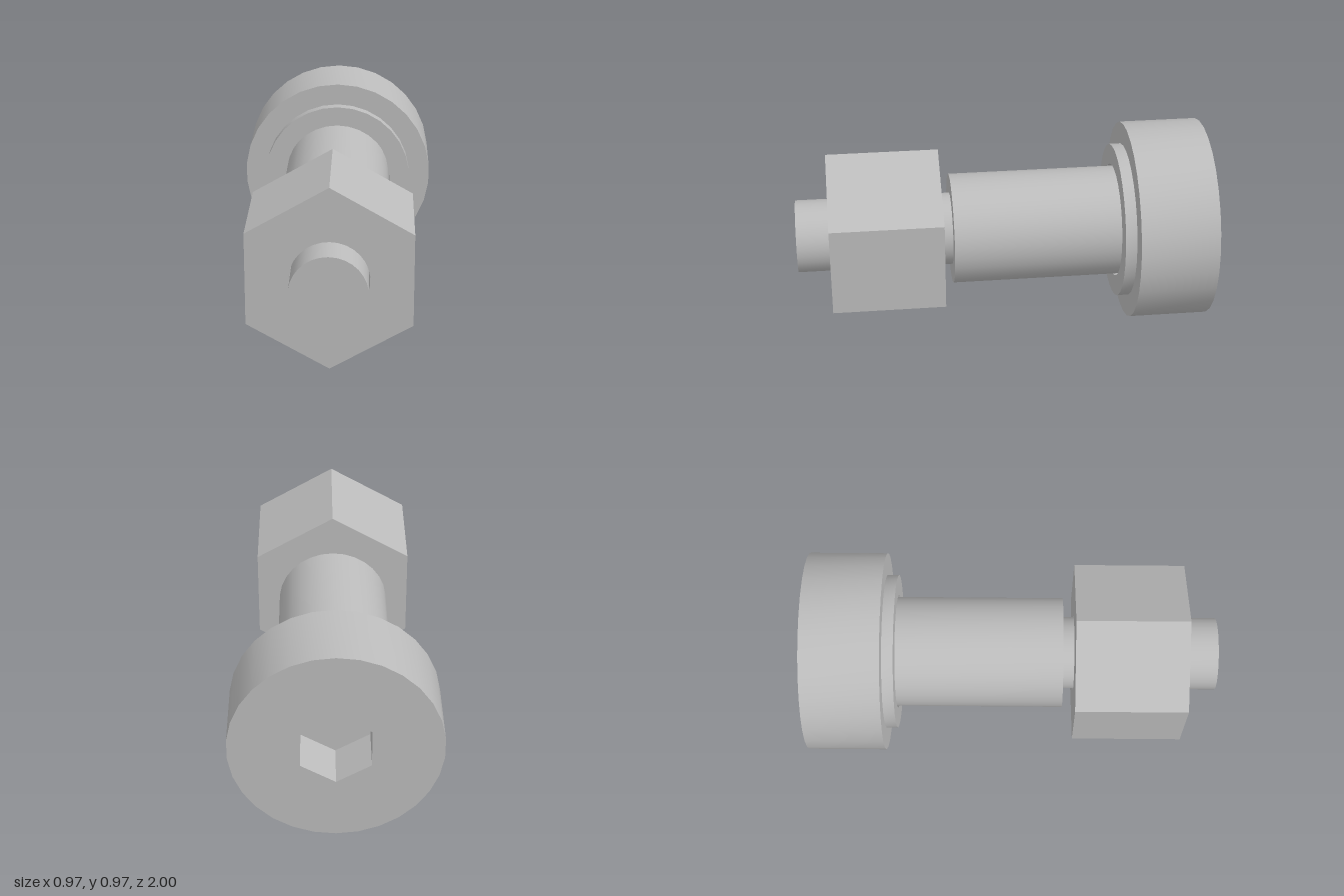
import * as THREE from 'three';
import { toCreasedNormals } from 'three/addons/utils/BufferGeometryUtils.js';

const ROUND = 30, HEX = 6, AXIS_Y = 0.487;

// Corner points of a regular polygon with one corner pointing up
function polygon(radius, sides) {
  return Array.from({ length: sides }, (_, i) => {
    const a = Math.PI / 2 + (i / sides) * Math.PI * 2;
    return new THREE.Vector2(radius * Math.cos(a), radius * Math.sin(a));
  });
}

export function createModel() {
  const group = new THREE.Group();
  const steel = new THREE.MeshStandardMaterial({ color: 0xbcbcbc });
  steel.name = 'steel grey';

  // Prism along z from z0 to z1, optionally with a hole through it
  function addPrism(name, outer, z0, z1, hole) {
    const shape = new THREE.Shape(outer);
    if (hole) shape.holes.push(new THREE.Path(hole));
    const geometry = new THREE.ExtrudeGeometry(shape, { depth: z1 - z0, bevelEnabled: false });
    const mesh = new THREE.Mesh(toCreasedNormals(geometry, 0.5), steel);
    mesh.name = name;
    mesh.position.set(0, AXIS_Y, z0);
    group.add(mesh);
  }

  // Head with a hexagonal socket; the buried end of the shank is the socket floor
  addPrism('head', polygon(0.487, ROUND), -1, -0.62, polygon(0.185, HEX));
  addPrism('shank', polygon(0.27, ROUND), -0.77, 0.245);
  addPrism('threadedEnd', polygon(0.177, ROUND), 0.245, 1);

  // Loose washer and nut, each with a slight clearance
  addPrism('washer', polygon(0.379, ROUND), -0.62, -0.565, polygon(0.28, ROUND));
  addPrism('nut', polygon(0.437, HEX), 0.3, 0.84, polygon(0.183, ROUND));

  return group;
}
